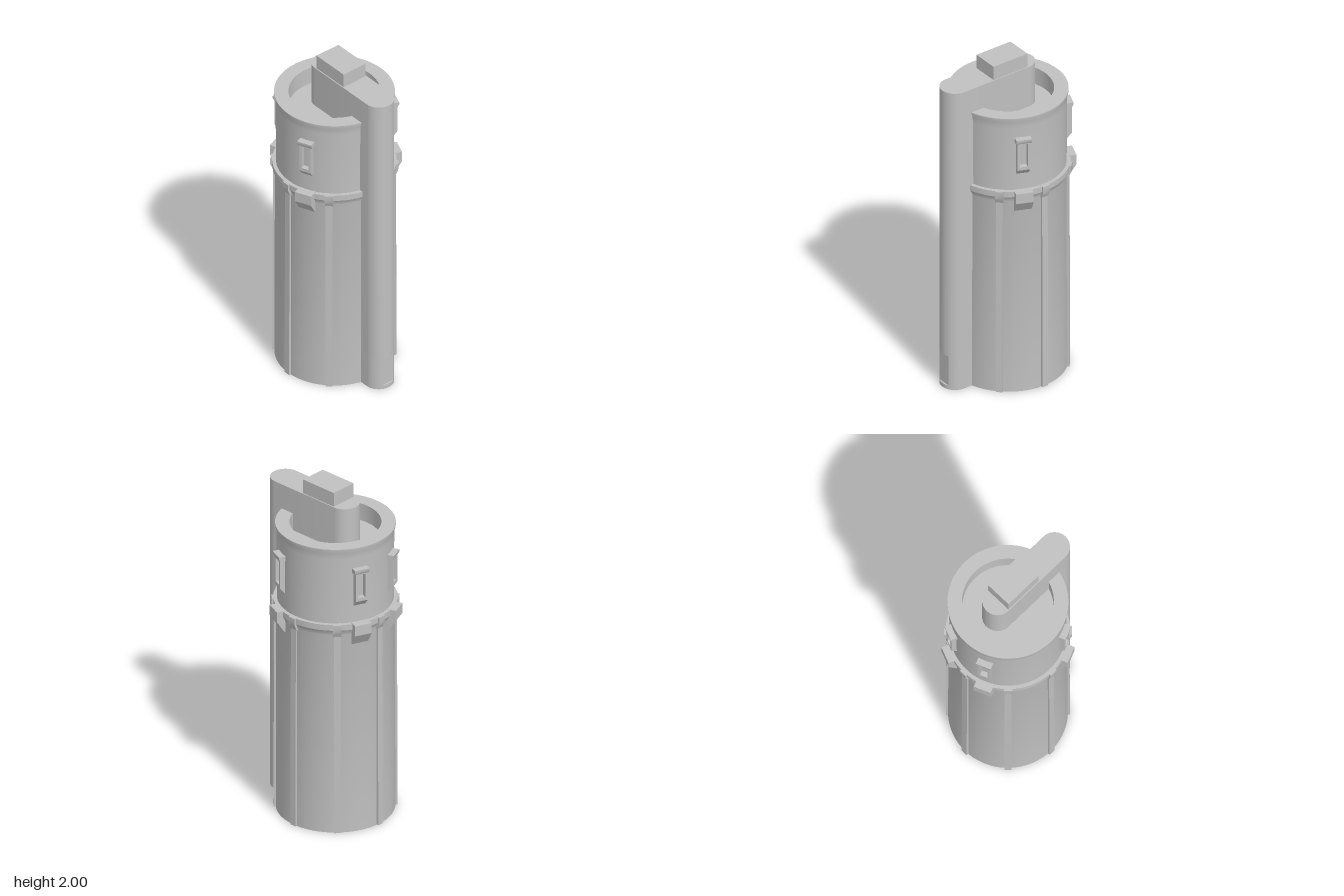
import * as THREE from 'three';
import { toCreasedNormals } from 'three/addons/utils/BufferGeometryUtils.js';

const grey = new THREE.MeshStandardMaterial({ color: 0xc0c0c0 });
grey.name = 'light grey';
const DEG = Math.PI / 180;

function part(name, geometry, parent) {
  const mesh = new THREE.Mesh(toCreasedNormals(geometry, 30 * DEG), grey);
  mesh.name = name;
  parent.add(mesh);
  return mesh;
}

// Extrudes a (radius, height) profile sideways so that radius points along +z.
function radialProfile(points, width) {
  const shape = new THREE.Shape(points.map(([r, y]) => new THREE.Vector2(r, y)));
  return new THREE.ExtrudeGeometry(shape, { depth: width, bevelEnabled: false })
    .translate(0, 0, -width / 2)
    .rotateY(-Math.PI / 2);
}

// Round-ended upright slab; cut flattens the front of the nose by that half angle.
function armSection(y0, y1, cut = 0) {
  const r = 0.085, s = new THREE.Shape();
  s.absarc(0, 0.122, r, 0, Math.PI);
  s.absarc(0, -0.323, r, Math.PI, 1.5 * Math.PI - cut);
  s.absarc(0, -0.323, r, 1.5 * Math.PI + cut, 2 * Math.PI);
  return new THREE.ExtrudeGeometry(s, { depth: y1 - y0, bevelEnabled: false, curveSegments: 20 })
    .rotateX(-Math.PI / 2)
    .translate(0.007, y0, 0);
}

// Raised window frame with a sloping foot.
function frameGeometry() {
  const rect = (Type, w, y0, y1) => new Type([
    new THREE.Vector2(-w, y0), new THREE.Vector2(w, y0),
    new THREE.Vector2(w, y1), new THREE.Vector2(-w, y1)]);
  const shape = rect(THREE.Shape, 0.036, 1.44, 1.62);
  shape.holes.push(rect(THREE.Path, 0.022, 1.46, 1.605));
  return new THREE.ExtrudeGeometry(shape, { depth: 0.05, bevelEnabled: false }).translate(0, 0, 0.302);
}

export function createModel() {
  const model = new THREE.Group();
  model.name = 'cylinderWithArm';

  const drum = new THREE.Group();
  drum.name = 'drum';
  drum.position.z = -0.048;
  model.add(drum);

  // Drum with a ledge at mid height, a flared lip and a sunken top
  const profile = [[0, 0], [0.33, 0], [0.328, 1.23], [0.334, 1.25], [0.343, 1.265], [0.343, 1.3],
    [0.322, 1.3], [0.324, 1.7], [0.327, 1.735], [0.333, 1.755], [0.333, 1.765],
    [0.253, 1.765], [0.253, 1.66], [0, 1.66]];
  part('drumBody', new THREE.LatheGeometry(profile.map(([r, y]) => new THREE.Vector2(r, y)), 72), drum);

  // Vertical ribs, every 45 degrees except behind the arm
  for (let i = 1; i < 8; i++) {
    const rib = new THREE.Group();
    rib.name = 'rib';
    rib.rotation.y = i * 45 * DEG;
    drum.add(rib);
    part('ribShaft', radialProfile([[0.3, 0.002], [0.342, 0.002], [0.338, 1.25], [0.3, 1.25]], 0.038), rib);
    part('ribHead', radialProfile(
      [[0.3, 1.22], [0.336, 1.22], [0.344, 1.24], [0.353, 1.26], [0.353, 1.301], [0.3, 1.301]], 0.046), rib);
  }

  // Brackets on the ledge with window frames above them
  for (const angle of [67.5, 157.5, 202.5, 292.5]) {
    const clip = new THREE.Group();
    clip.name = 'clip';
    clip.rotation.y = angle * DEG;
    drum.add(clip);
    part('bracket', radialProfile(
      [[0.3, 1.17], [0.329, 1.17], [0.375, 1.24], [0.375, 1.302], [0.3, 1.302]], 0.1), clip);
    part('windowFrame', frameGeometry(), clip);
    part('frameFoot', radialProfile([[0.3, 1.405], [0.324, 1.405], [0.352, 1.44], [0.3, 1.44]], 0.072), clip);
    part('frameLip', radialProfile([[0.3, 1.61], [0.352, 1.61], [0.36, 1.625], [0.36, 1.638], [0.3, 1.638]], 0.088), clip);
  }

  // Arm running up the front and over the top, with a flat notch near its foot
  const arm = new THREE.Group();
  arm.name = 'arm';
  model.add(arm);
  part('armFoot', armSection(0, 0.025), arm);
  part('armNotch', armSection(0.025, 0.213, 0.516), arm);
  part('armColumn', armSection(0.213, 1.915), arm);

  // Block on top of the arm
  part('topBlock', new THREE.BoxGeometry(0.158, 0.1, 0.233).translate(0.007, 1.95, 0), arm);

  return model;
}
